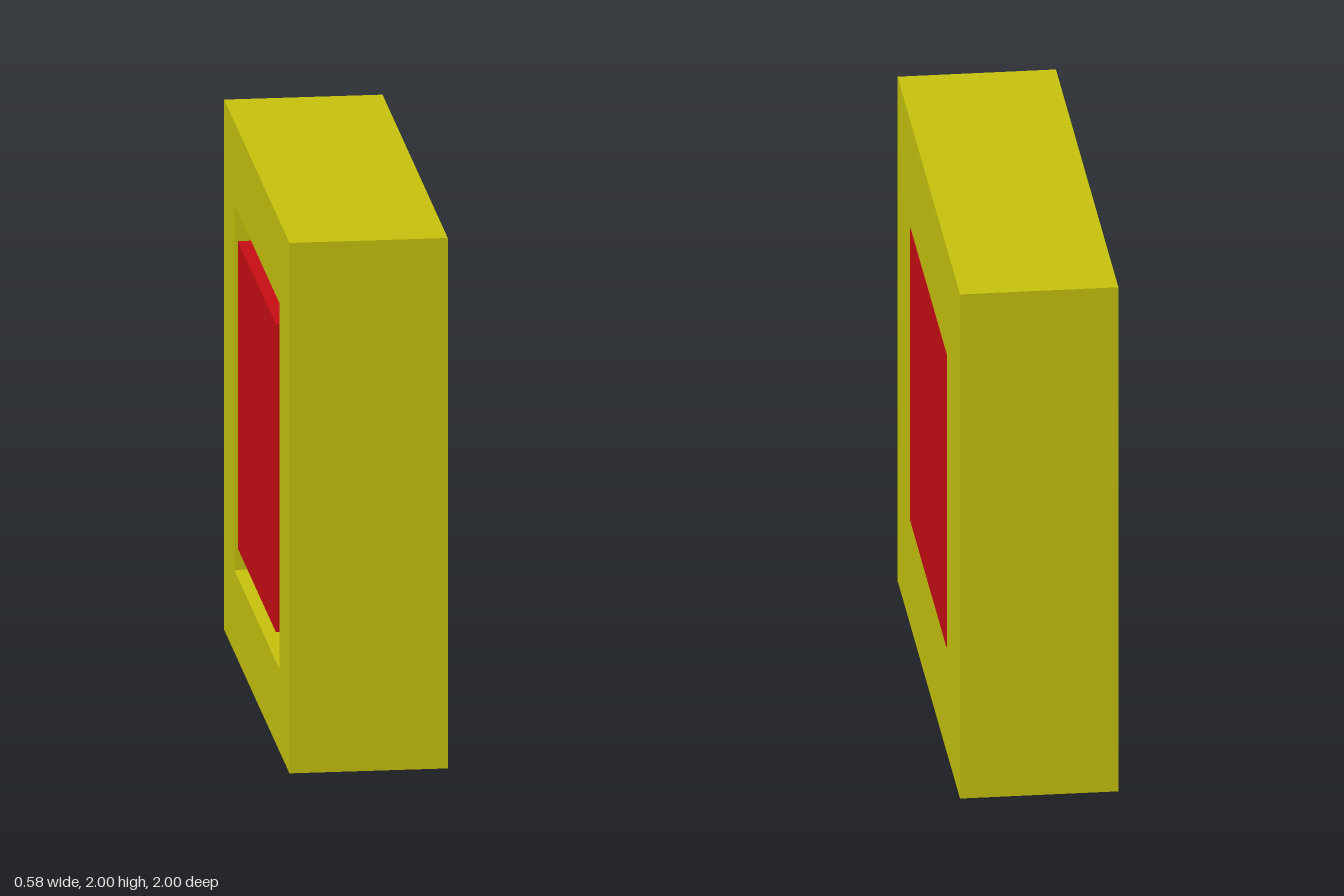
import * as THREE from 'three';

const SIZE = 2;         // outer height and length
const DEPTH = 0.58;     // thickness along x
const HOLE = 1.38;      // recess opening
const CORE = 1.16;      // inner block
const FLOOR = 0.1;      // plate closing the recess on the +x side

const squarePoints = (s) => [
  new THREE.Vector2(-s / 2, -s / 2),
  new THREE.Vector2(s / 2, -s / 2),
  new THREE.Vector2(s / 2, s / 2),
  new THREE.Vector2(-s / 2, s / 2),
];

// Square slab facing along x, from x0 to x1, with an optional square hole
function slab(name, size, x0, x1, material, hole) {
  const shape = new THREE.Shape(squarePoints(size));
  if (hole) shape.holes.push(new THREE.Path(squarePoints(hole).reverse()));
  const geometry = new THREE.ExtrudeGeometry(shape, { depth: x1 - x0, bevelEnabled: false });
  geometry.rotateY(Math.PI / 2);
  geometry.translate(x0, SIZE / 2, 0);
  const mesh = new THREE.Mesh(geometry, material);
  mesh.name = name;
  return mesh;
}

export function createModel() {
  const yellow = new THREE.MeshStandardMaterial({ color: 0xc8c40e });
  const red = new THREE.MeshStandardMaterial({ color: 0xc80e14 });
  const half = DEPTH / 2;

  const model = new THREE.Group();
  model.name = 'framedBlock';

  // Casing: a thick frame open towards -x, closed by a plate on +x
  const casing = new THREE.Group();
  casing.name = 'casing';
  casing.add(
    slab('frame', SIZE, -half, half, yellow, HOLE),
    slab('recessFloor', HOLE, half - FLOOR, half, yellow),
  );

  // Inner block, flush on -x and a hair proud on +x so its face shows cleanly
  model.add(casing, slab('innerBlock', CORE, -half, half + 0.002, red));
  return model;
}
